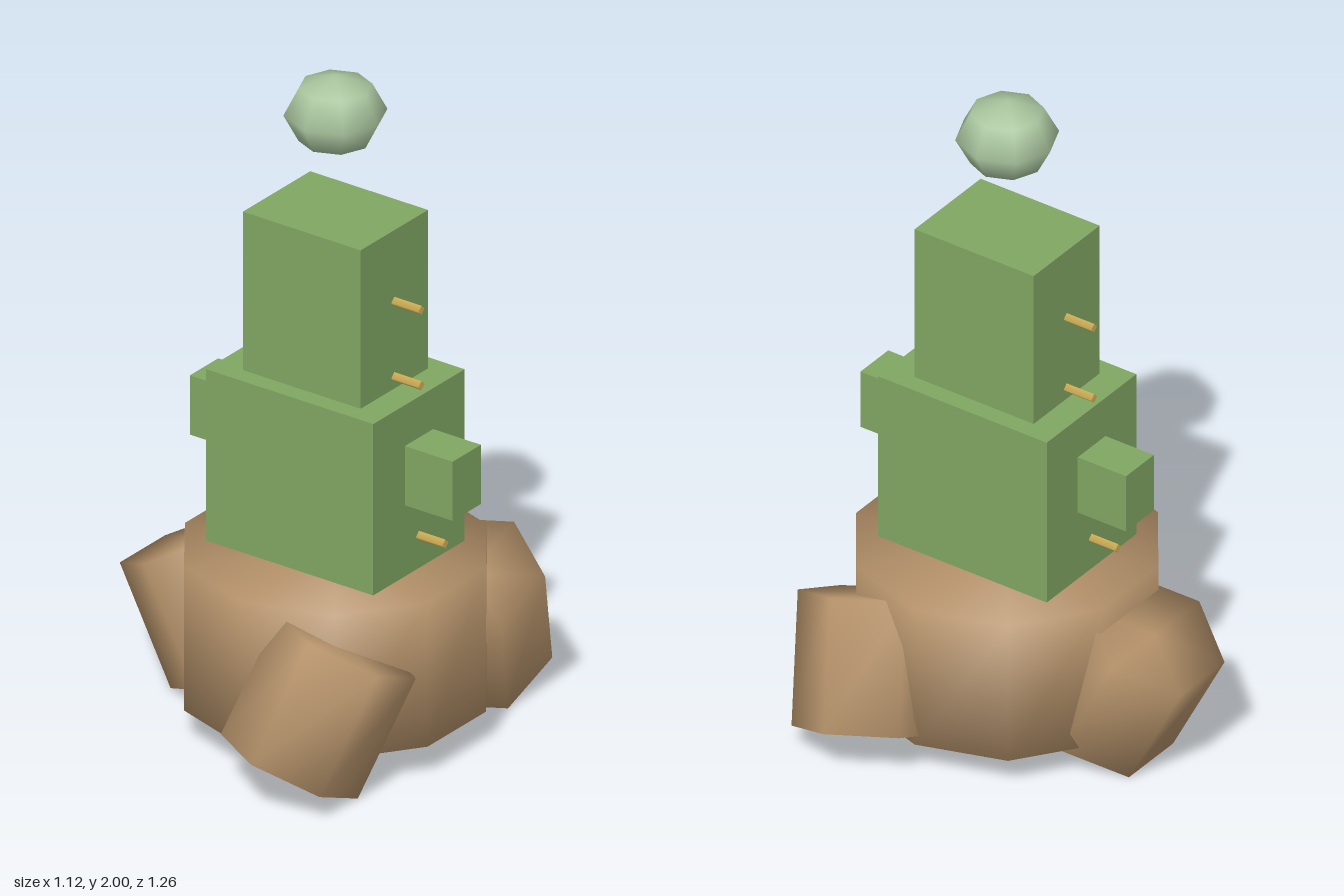
import * as THREE from 'three';
import { mergeVertices } from 'three/addons/utils/BufferGeometryUtils.js';

const CX = 0.104; // shared vertical axis of the plant and pot

const material = (name, color) => {
  const m = new THREE.MeshStandardMaterial({ color });
  m.name = name;
  return m;
};

// Capped prism whose normals are smoothed over the rims
function softPrism(radius, height, sides) {
  const g = new THREE.CylinderGeometry(radius, radius, height, sides);
  g.deleteAttribute('normal');
  g.deleteAttribute('uv');
  g.clearGroups();
  const merged = mergeVertices(g, 1e-4);
  merged.computeVertexNormals();
  return merged;
}

export function createModel() {
  const brown = material('clay brown', 0xb5926a);
  const green = material('cactus green', 0x80a662);
  const pale = material('pale green', 0xa9c59e);
  const gold = material('spine gold', 0xd2b158);

  const model = new THREE.Group();
  model.name = 'pottedCactus';
  const add = (name, geometry, mat, x, y, z = 0) => {
    const mesh = new THREE.Mesh(geometry, mat);
    mesh.name = name;
    mesh.position.set(x, y, z);
    model.add(mesh);
    return mesh;
  };

  // Pot with a shallow rounded underside
  add('pot', softPrism(0.44, 0.445, 10), brown, CX, 0.3225);
  const bowl = new THREE.SphereGeometry(0.41, 10, 6).scale(1, 0.157 / 0.41, 1);
  add('potUnderside', bowl, brown, CX, 0.207);

  // Three hexagonal legs around the pot
  const legShape = softPrism(0.21, 0.38, 6).rotateZ(0.48);
  for (const angle of [Math.PI, Math.PI / 3, -Math.PI / 3]) {
    const leg = add('leg', legShape, brown,
      CX + 0.417 * Math.cos(angle), 0.253, 0.417 * Math.sin(angle));
    leg.rotation.y = angle - Math.PI;
  }

  // Stacked cactus body
  add('lowerStem', new THREE.BoxGeometry(0.576, 0.53, 0.426), green, CX, 0.825);
  add('upperStem', new THREE.BoxGeometry(0.406, 0.49, 0.314), green, CX, 1.335);

  // Side arms and spines, mirrored
  const armShape = new THREE.BoxGeometry(0.2, 0.183, 0.132);
  const spineShape = new THREE.CylinderGeometry(0.014, 0.014, 0.12, 4).rotateZ(Math.PI / 2);
  for (const side of [-1, 1]) {
    const label = side > 0 ? 'left' : 'right';
    add(label + 'Arm', armShape, green, CX + side * 0.353, 0.872);
    for (const [reach, y] of [[0.297, 1.36], [0.297, 1.127], [0.379, 0.661]])
      add(label + 'Spine', spineShape, gold, CX + side * (reach - 0.06), y);
  }

  // Floating bloom
  const bloom = new THREE.SphereGeometry(0.146, 8, 4).scale(1, 0.79, 1);
  add('bloom', bloom, pale, CX, 1.885);

  return model;
}
